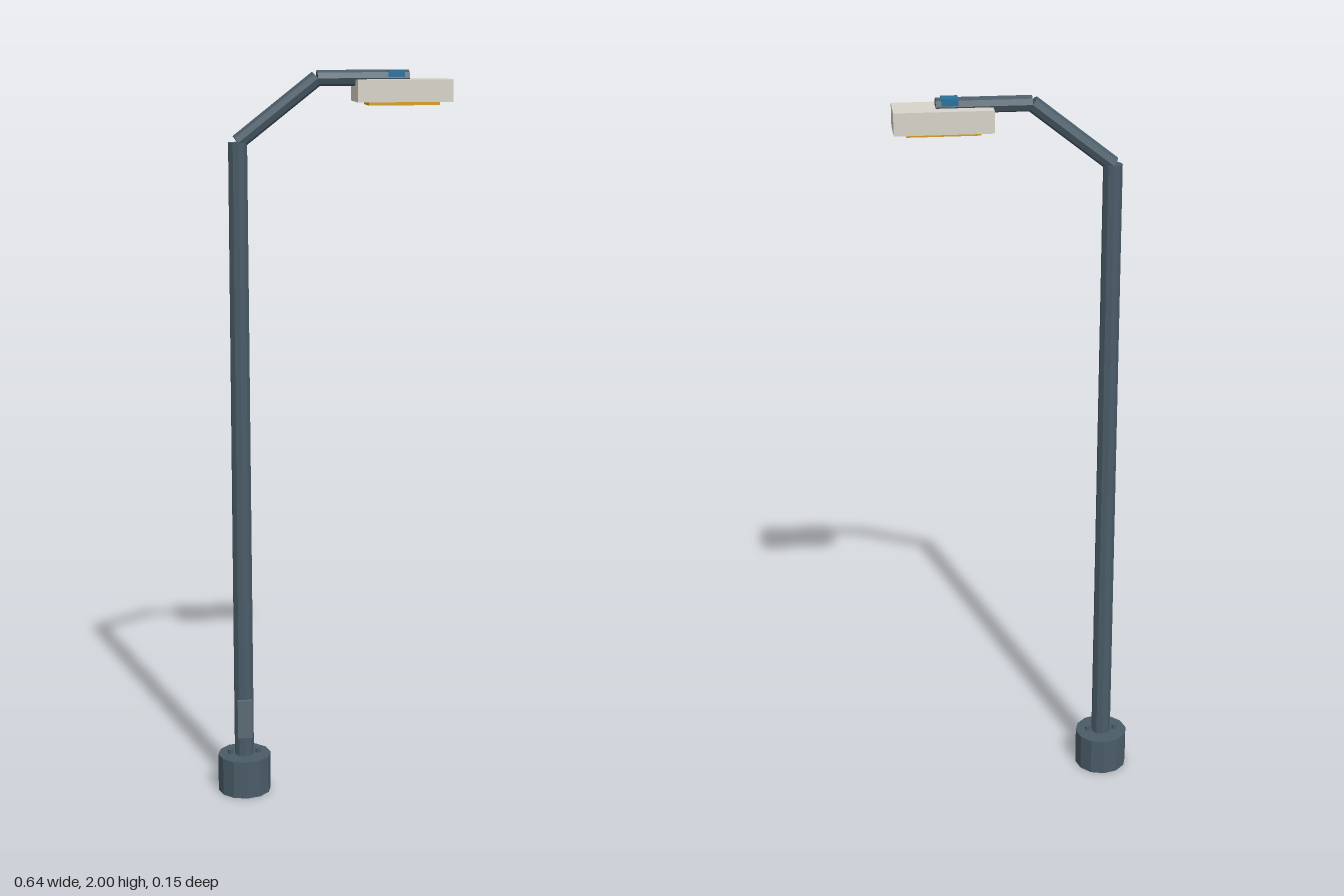
import * as THREE from 'three';

const material = (color) => new THREE.MeshStandardMaterial({ color, flatShading: true });

export function createModel() {
  const group = new THREE.Group();
  const steel = material(0x4a5c68);
  const panel = material(0x5c6a74);
  const housing = material(0xd8d4ca);
  const amber = material(0xd9a020);
  const blue = material(0x2a719c);
  const poleX = -0.245;

  const add = (name, geometry, mat, x, y, z = 0) => {
    const mesh = new THREE.Mesh(geometry, mat);
    mesh.name = name;
    mesh.position.set(x, y, z);
    group.add(mesh);
    return mesh;
  };
  const box = (name, mat, [x0, x1], [y0, y1], [z0, z1]) =>
    add(name, new THREE.BoxGeometry(x1 - x0, y1 - y0, z1 - z0), mat,
      (x0 + x1) / 2, (y0 + y1) / 2, (z0 + z1) / 2);
  // Straight round bar between two points in the xy plane
  const bar = (name, x0, y0, x1, y1, radius) => {
    const length = Math.hypot(x1 - x0, y1 - y0);
    const mesh = add(name, new THREE.CylinderGeometry(radius, radius, length, 8), steel,
      (x0 + x1) / 2, (y0 + y1) / 2);
    mesh.rotation.z = Math.atan2(y1 - y0, x1 - x0) - Math.PI / 2;
  };

  // Footing, anchor bolts and pole
  add('base', new THREE.CylinderGeometry(0.074, 0.074, 0.107, 12), steel, poleX, 0.0535);
  for (const side of [-1, 1]) {
    add('anchorBolt', new THREE.CylinderGeometry(0.007, 0.007, 0.02, 8), steel,
      poleX + side * 0.039, 0.11);
  }
  add('pole', new THREE.CylinderGeometry(0.0255, 0.0275, 1.71, 10), steel, poleX, 0.96);
  box('accessHatch', panel, [-0.266, -0.225], [0.165, 0.275], [0.022, 0.036]);

  // Bent arm
  bar('slopedArm', poleX, 1.815, -0.035, 1.979, 0.021);
  bar('levelArm', -0.035, 1.979, 0.209, 1.979, 0.021);

  // Lamp head
  box('lampHousing', housing, [0.065, 0.318], [1.918, 1.976], [-0.056, 0.056]);
  box('lampLens', amber, [0.097, 0.286], [1.909, 1.92], [-0.037, 0.037]);
  box('lightSensor', blue, [0.152, 0.195], [1.972, 1.9995], [-0.02, 0.02]);

  return group;
}
